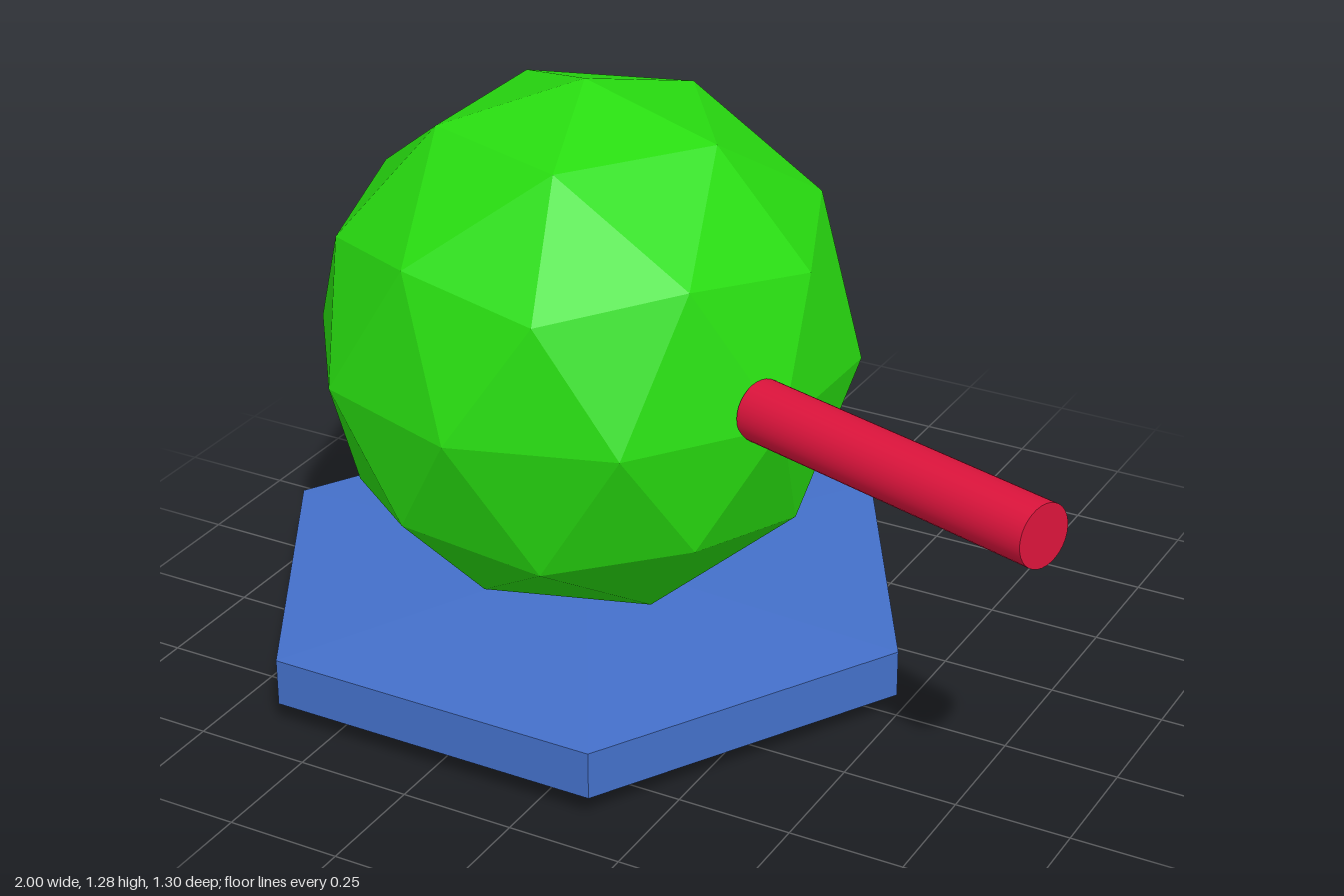
import * as THREE from 'three';

function part(name, geometry, color, flatShading) {
  const mesh = new THREE.Mesh(geometry, new THREE.MeshStandardMaterial({ color, flatShading }));
  mesh.name = name;
  return mesh;
}

export function createModel() {
  const model = new THREE.Group();
  model.name = 'model';

  // Six-sided base with a shallow point above and below
  const profile = [[0, 0], [0.75, 0.05], [0.75, 0.155], [0, 0.185]].map(([r, y]) => new THREE.Vector2(r, y));
  const base = part('base', new THREE.LatheGeometry(profile, 6, Math.PI / 2), 0x4470ca, true);
  base.position.x = -0.25;
  model.add(base);

  // Faceted ball, turned so that one icosahedron corner points straight up
  const ballGeometry = new THREE.IcosahedronGeometry(0.585, 1);
  ballGeometry.rotateZ(-Math.atan(2 / (1 + Math.sqrt(5))));
  const ball = part('ball', ballGeometry, 0x28dc10, true);
  ball.position.set(-0.26, 0.7, -0.035);
  model.add(ball);

  // Round rod from the ball's surface, slanting outward and slightly up
  const start = new THREE.Vector3(0.255, 0.737, 0.165);
  const end = new THREE.Vector3(0.977, 0.765, 0.423);
  const axis = end.clone().sub(start);
  const rod = part('rod', new THREE.CylinderGeometry(0.066, 0.066, axis.length(), 32), 0xdc143c, false);
  rod.position.copy(start).add(end).multiplyScalar(0.5);
  rod.quaternion.setFromUnitVectors(new THREE.Vector3(0, 1, 0), axis.normalize());
  model.add(rod);

  return model;
}
